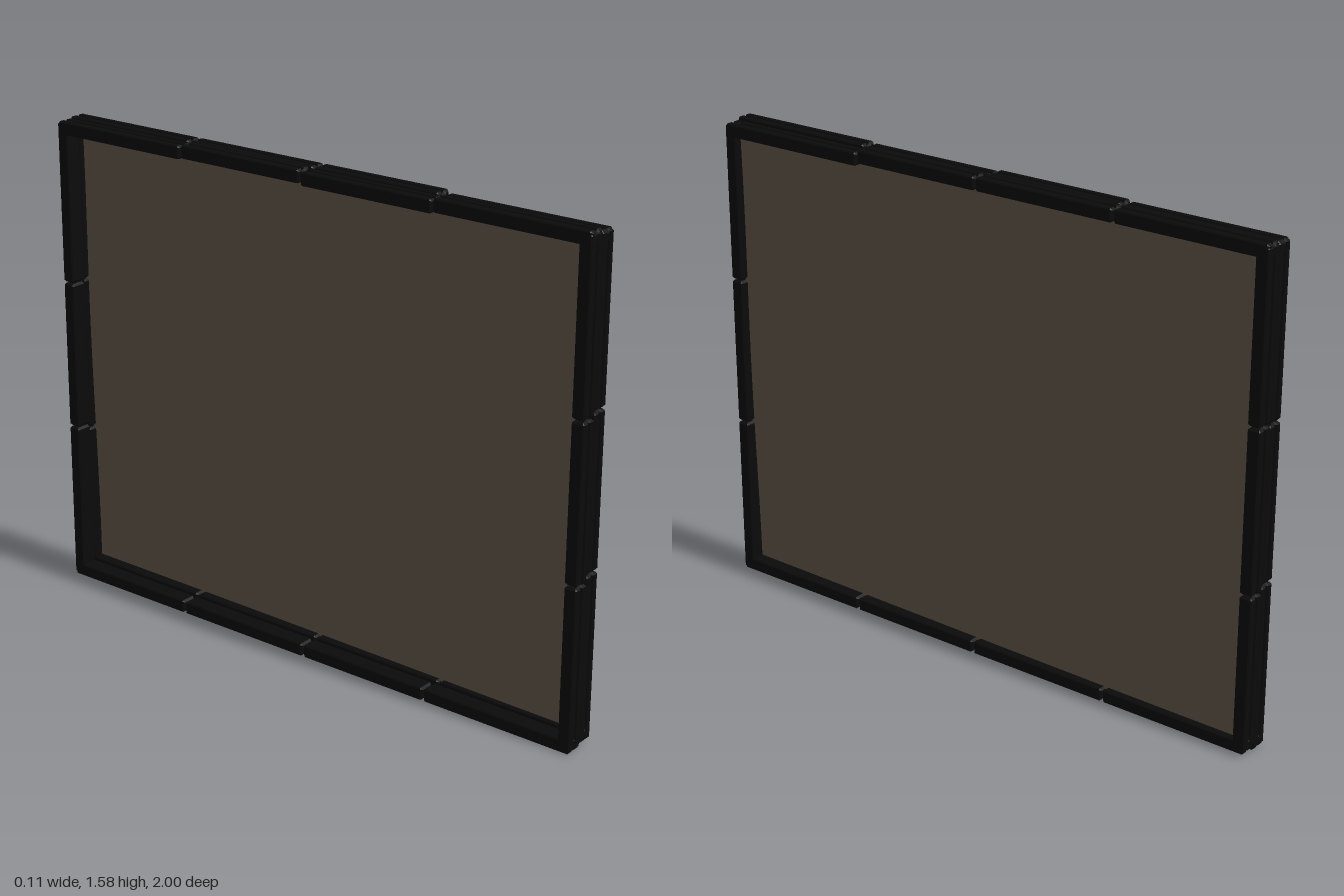
import * as THREE from 'three';

const BEVEL = 0.007, WIDTH = 0.055, THICK = 0.042, GAP = 0.004;

// Bar of the given length along z: outer face (+y) at y = 0, with a groove down its middle
function barGeometry(length) {
  const w = WIDTH / 2, c = 0.004;
  const points = [
    [-w + c, -THICK], [w - c, -THICK], [w, -THICK + c], [w, -c], [w - c, 0],
    [0.007, 0], [0.004, -0.006], [-0.004, -0.006], [-0.007, 0],
    [-w + c, 0], [-w, -c], [-w, -THICK + c],
  ].map(([x, y]) => new THREE.Vector2(x, y));
  const depth = length - 2 * BEVEL;
  const geometry = new THREE.ExtrudeGeometry(new THREE.Shape(points), {
    depth, bevelEnabled: true, bevelThickness: BEVEL, bevelSize: BEVEL,
    bevelOffset: -BEVEL, bevelSegments: 1,
  });
  return geometry.translate(0, 0, -depth / 2);
}

// Gently warped sheet facing +x
function panelGeometry() {
  const geometry = new THREE.PlaneGeometry(1.95, 1.53, 24, 20);
  geometry.rotateY(Math.PI / 2).translate(0, 0.79, 0);
  const p = geometry.attributes.position;
  for (let i = 0; i < p.count; i++) {
    const y = (p.getY(i) - 0.79) / 0.79, z = p.getZ(i);
    p.setX(i, 0.023 + 0.01 * y * z + 0.003 * Math.sin(4 * y + 2 * z));
  }
  geometry.computeVertexNormals();
  return geometry;
}

export function createModel() {
  const model = new THREE.Group();
  model.name = 'framedPanel';
  const frameBlack = new THREE.MeshStandardMaterial({ color: 0x0b0b0b });
  frameBlack.name = 'frameBlack';
  const panelBrown = new THREE.MeshStandardMaterial({ color: 0x6b5f50, side: THREE.DoubleSide });
  panelBrown.name = 'panelBrown';

  const panel = new THREE.Mesh(panelGeometry(), panelBrown);
  panel.name = 'panel';
  model.add(panel);

  // One run of bars along an edge, split at the given joints
  function addRun(name, x, joints, angle, place) {
    const run = new THREE.Group();
    run.name = name;
    for (let i = 0; i < joints.length - 1; i++) {
      const a = joints[i], b = joints[i + 1];
      const bar = new THREE.Mesh(barGeometry(b - a - GAP), frameBlack);
      bar.name = 'frameBar';
      bar.rotation.x = angle;
      const [y, z] = place((a + b) / 2, i);
      bar.position.set(x, y, z);
      run.add(bar);
    }
    model.add(run);
  }

  // Two rows of bars side by side make up the frame
  const rows = [
    { side: 'left', x: WIDTH / 2, bottom: 0.01, top: [1.58, 1.58, 1.58, 1.57],
      topJoints: [-1, -0.49, 0, 0.455, 1], bottomJoints: [-1, -0.49, 0.01, 0.49, 1],
      frontJoints: [0.01, 0.553, 1.05, 1.57], backJoints: [0.02, 0.525, 1.045, 1.575] },
    { side: 'right', x: -WIDTH / 2, bottom: 0, top: [1.575, 1.58, 1.575, 1.58],
      topJoints: [-1, -0.48, -0.01, 0.47, 1], bottomJoints: [-1, -0.5, 0, 0.47, 1],
      frontJoints: [0.003, 0.533, 1.035, 1.575], backJoints: [0.003, 0.54, 1.04, 1.575] },
  ];
  for (const r of rows) {
    addRun(r.side + 'TopRail', r.x, r.topJoints, 0, (m, i) => [r.top[i], m]);
    addRun(r.side + 'BottomRail', r.x, r.bottomJoints, Math.PI, (m) => [r.bottom, m]);
    addRun(r.side + 'FrontPost', r.x, r.frontJoints, Math.PI / 2, (m) => [m, 1]);
    addRun(r.side + 'BackPost', r.x, r.backJoints, -Math.PI / 2, (m) => [m, -1]);
  }
  return model;
}
